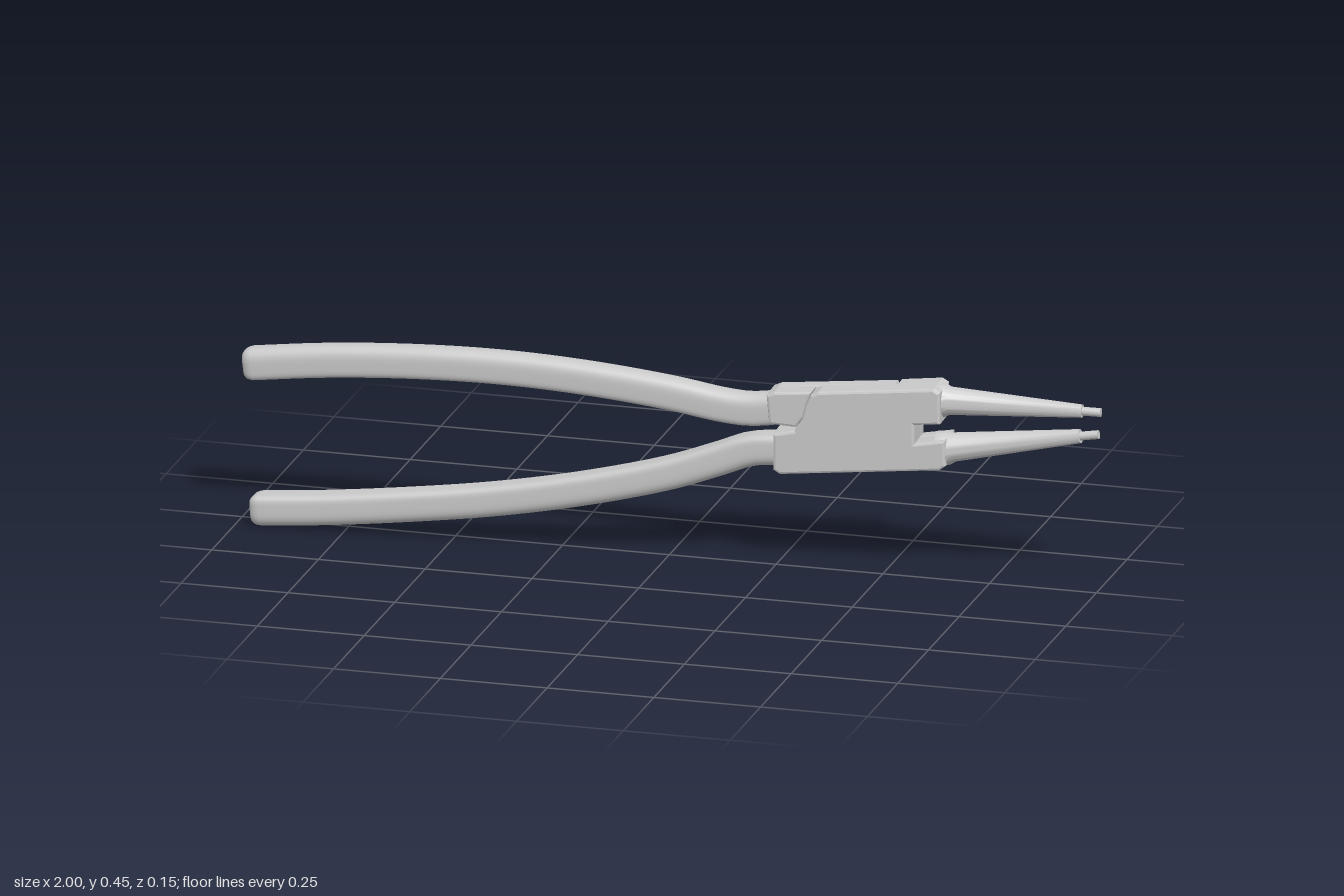
import * as THREE from 'three';
import { toCreasedNormals } from 'three/addons/utils/BufferGeometryUtils.js';

const metal = new THREE.MeshStandardMaterial({ color: 0xcccccc });

function part(name, geometry) {
  const mesh = new THREE.Mesh(geometry, metal);
  mesh.name = name;
  return mesh;
}

// Sweep a D-like section along a curve: softly rounded outside, flatter inside.
function handle(name, points, halfHeight, halfDepth, outer) {
  const curve = new THREE.CatmullRomCurve3(points.map(p => new THREE.Vector3(...p)));
  const stations = [[0, 0], [0, 0.55], [0.001, 0.74], [0.005, 0.88], [0.011, 0.96], [0.018, 1]];
  for (let i = 1; i <= 44; i++) stations.push([0.018 + 0.982 * i / 44, 1]);
  stations.push([1, 0]);
  const sides = 40, pos = [], index = [];
  const power = (v, e) => Math.sign(v) * Math.pow(Math.abs(v), e);
  stations.forEach(([u, s], i) => {
    const c = curve.getPointAt(u), t = curve.getTangentAt(u);
    const len = Math.hypot(t.x, t.y), nx = -t.y / len, ny = t.x / len;
    for (let j = 0; j < sides; j++) {
      const a = j / sides * Math.PI * 2;
      const e = Math.sin(a) * outer > 0 ? 0.72 : 0.42;
      const h = power(Math.sin(a), e) * halfHeight * s;
      const w = power(Math.cos(a), e) * halfDepth * s;
      pos.push(c.x + nx * h, c.y + ny * h, c.z + w);
      if (i < stations.length - 1) {
        const p = i * sides + j, q = i * sides + (j + 1) % sides;
        index.push(p, p + sides, q + sides, p, q + sides, q);
      }
    }
  });
  const g = new THREE.BufferGeometry();
  g.setAttribute('position', new THREE.Float32BufferAttribute(pos, 3));
  g.setIndex(index);
  g.computeVertexNormals();
  return part(name, g);
}

// Bevelled plate from an outline, spanning z0 to z1.
function plate(name, outline, z0, z1, bevel = 0.006) {
  const shape = new THREE.Shape(outline.map(p => new THREE.Vector2(...p)));
  const g = new THREE.ExtrudeGeometry(shape, {
    depth: z1 - z0 - 2 * bevel, bevelThickness: bevel, bevelSize: bevel,
    bevelOffset: -bevel, bevelSegments: 2,
  });
  g.translate(0, 0, z0 + bevel);
  return part(name, g);
}

// Tapered jaw with a flared root and a thin pin at the tip.
function jaw(name, from, to, rootRadius, tipRadius) {
  const a = new THREE.Vector3(...from), dir = new THREE.Vector3(...to).sub(a);
  const L = dir.length() - 0.043;
  const profile = [[0, -0.02], [rootRadius + 0.007, -0.02], [rootRadius + 0.006, 0], [rootRadius, 0.014],
    [tipRadius, L], [0.01, L], [0.01, L + 0.043], [0, L + 0.043]];
  const g = new THREE.LatheGeometry(profile.map(p => new THREE.Vector2(...p)), 40);
  const mesh = part(name, toCreasedNormals(g, 0.5));
  mesh.position.copy(a);
  mesh.quaternion.setFromUnitVectors(new THREE.Vector3(0, 1, 0), dir.normalize());
  return mesh;
}

export function createModel() {
  const model = new THREE.Group();
  model.name = 'circlipPliers';

  // Handles
  model.add(handle('upperHandle', [
    [-1, 0.365, -0.022], [-0.8, 0.39, -0.022], [-0.6, 0.405, -0.022], [-0.4, 0.41, -0.022],
    [-0.2, 0.403, -0.022], [0, 0.385, -0.022], [0.12, 0.368, -0.022], [0.19, 0.365, -0.022],
    [0.28, 0.38, -0.022]], 0.037, 0.033, 1));
  model.add(handle('lowerHandle', [
    [-0.965, 0.042, 0.039], [-0.8, 0.055, 0.031], [-0.6, 0.078, 0.022], [-0.4, 0.107, 0.013],
    [-0.2, 0.147, 0.005], [0, 0.2, -0.004], [0.12, 0.244, -0.01], [0.19, 0.271, -0.013],
    [0.29, 0.28, -0.017]], 0.037, 0.035, -1));

  // Lap-jointed head, yawed slightly
  const pivot = new THREE.Group();
  pivot.name = 'head';
  pivot.position.set(0.44, 0, -0.021);
  pivot.rotation.y = 0.035;
  const head = new THREE.Group();
  head.name = 'headParts';
  head.position.x = -0.44;
  pivot.add(head);
  model.add(pivot);

  head.add(plate('frontPlate', [
    [0.25, 0.24], [0.265, 0.231], [0.635, 0.269], [0.65, 0.28], [0.65, 0.341], [0.578, 0.328],
    [0.578, 0.372], [0.637, 0.378], [0.637, 0.452], [0.622, 0.461], [0.355, 0.433], [0.337, 0.424],
    [0.324, 0.395], [0.316, 0.365], [0.3, 0.337], [0.25, 0.326]], -0.012, 0.048));
  head.add(plate('backPlate', [
    [0.315, 0.239], [0.635, 0.269], [0.65, 0.28], [0.65, 0.341], [0.578, 0.328], [0.578, 0.372],
    [0.555, 0.385], [0.53, 0.41], [0.52, 0.448], [0.25, 0.421], [0.232, 0.413], [0.236, 0.345],
    [0.3, 0.337], [0.31, 0.3]], -0.046, -0.008));

  // Blocks joining the plates to the jaws and handles
  head.add(plate('upperJawBlock', [
    [0.528, 0.45], [0.538, 0.412], [0.56, 0.39], [0.585, 0.374], [0.637, 0.378], [0.637, 0.452],
    [0.622, 0.461]], -0.05, 0.02, 0.008));
  head.add(plate('upperHandleRoot', [
    [0.232, 0.413], [0.238, 0.345], [0.3, 0.342], [0.316, 0.365], [0.324, 0.395], [0.337, 0.428],
    [0.25, 0.421]], -0.04, 0.038));
  head.add(plate('lowerHandleRoot', [
    [0.25, 0.24], [0.265, 0.231], [0.306, 0.237], [0.302, 0.3], [0.292, 0.334], [0.25, 0.326]],
    -0.042, 0.04));

  // Rivet head on the back
  const rivet = part('rivet', new THREE.CylinderGeometry(0.042, 0.044, 0.008, 40));
  rivet.rotation.x = Math.PI / 2;
  rivet.position.set(0.44, 0.345, -0.0445);
  head.add(rivet);

  // Jaws
  model.add(jaw('upperJaw', [0.637, 0.421, -0.03], [1, 0.422, -0.038], 0.032, 0.015));
  model.add(jaw('lowerJaw', [0.648, 0.313, -0.021], [1, 0.376, -0.019], 0.033, 0.016));
  return model;
}
